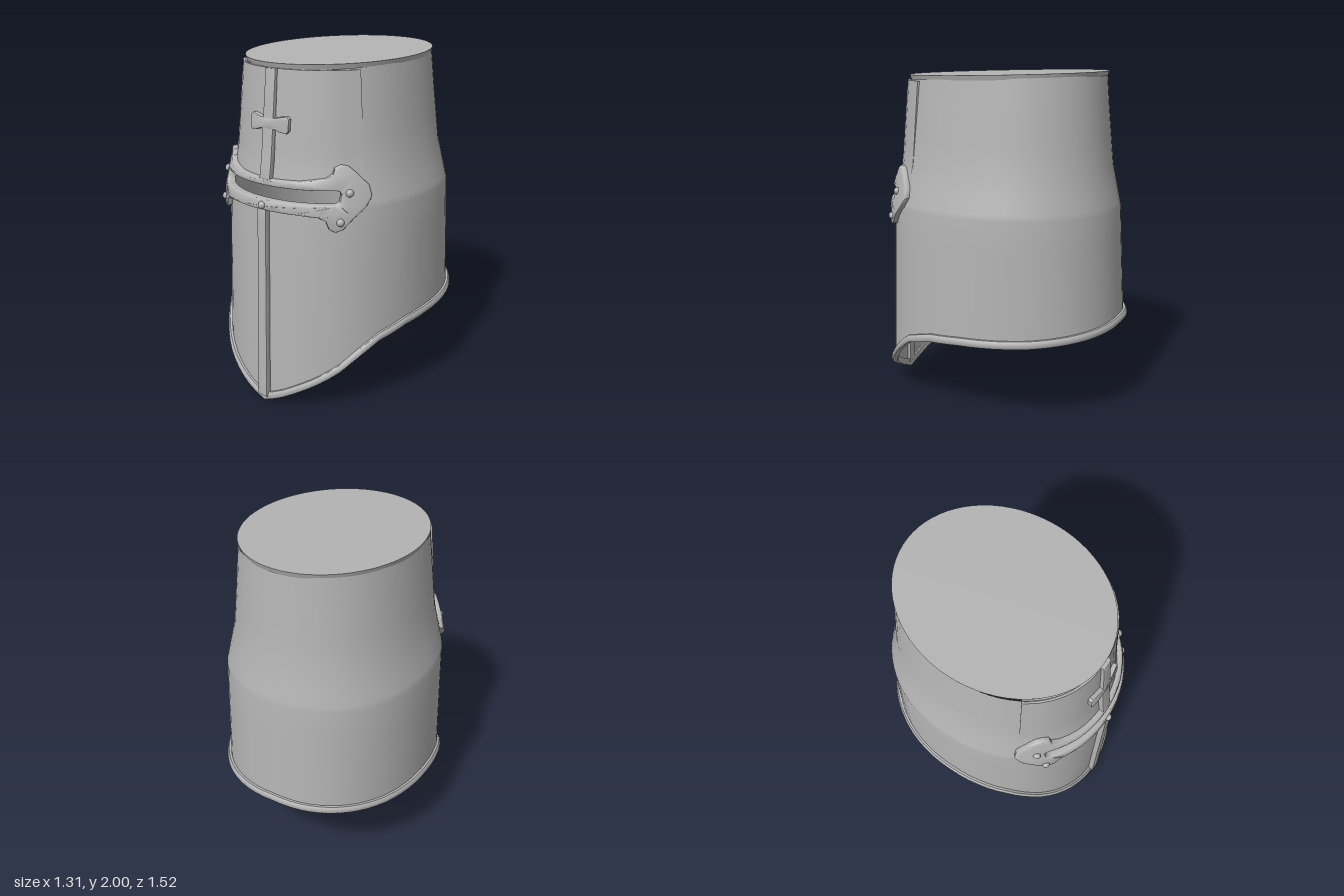
import * as THREE from 'three';
import { toCreasedNormals } from 'three/addons/utils/BufferGeometryUtils.js';

const steel = new THREE.MeshStandardMaterial({ color: 0xb4b4b4, side: THREE.DoubleSide });
steel.name = 'steel grey';

// Piecewise linear lookup in [key, value] pairs
function lookup(table, t) {
  for (let i = 1; i < table.length; i++) {
    const [t0, v0] = table[i - 1], [t1, v1] = table[i];
    if (t <= t1) return v0 + (v1 - v0) * Math.max(0, (t - t0) / (t1 - t0));
  }
  return table[table.length - 1][1];
}

// Skull profile by height: half width, front depth, back depth
const WIDTH = [[0, 0.64], [0.5, 0.633], [1.2, 0.617], [1.45, 0.555], [1.95, 0.497]];
const FRONT = [[0, 0.73], [1.2, 0.69], [1.45, 0.645], [1.95, 0.59]];
const BACK = [[0.5, 0.737], [1.2, 0.7], [1.45, 0.65], [1.95, 0.605]];
// Height of the lower edge by angle from the front, in degrees
const HEM = [[0, 0], [9, 0.045], [18, 0.1], [28, 0.16], [39, 0.235], [46, 0.3], [52, 0.352],
  [60, 0.41], [75, 0.46], [90, 0.475], [120, 0.485], [180, 0.525]];
const FULL = 0.94; // makes the oval slightly fuller than an ellipse
const COLS = 72;

const power = (v, p) => Math.sign(v) * Math.abs(v) ** p;
const hem = (angle) => {
  const deg = THREE.MathUtils.radToDeg(angle);
  return lookup(HEM, deg > 180 ? 360 - deg : deg);
};

// Point on the skull at an angle and height, pushed out by d
function onSkull(angle, y, d = 0) {
  const s = Math.sin(angle), c = Math.cos(angle);
  const a = lookup(WIDTH, y), b = lookup(c > 0 ? FRONT : BACK, y);
  const n = new THREE.Vector2(s / a, c / b).normalize();
  return new THREE.Vector3(a * power(s, FULL) + n.x * d, y, b * power(c, FULL) + n.y * d);
}

// Point on the face above a flat (x, y) position
function onFace(x, y, d) {
  const s = THREE.MathUtils.clamp(x / lookup(WIDTH, y), -1, 1);
  return onSkull(Math.asin(power(s, 1 / FULL)), y, d);
}

// Surface running round the helmet; skip(col, row) leaves openings
function ringSurface(rows, closed, pointAt, skip = () => false) {
  const pos = [], index = [];
  for (let i = 0; i < COLS; i++) {
    for (let j = 0; j < rows; j++) pos.push(...pointAt((i / COLS) * Math.PI * 2, j).toArray());
  }
  for (let i = 0; i < COLS; i++) {
    for (let j = 0; j < (closed ? rows : rows - 1); j++) {
      if (skip(i, j)) continue;
      const k = (j + 1) % rows, n = (i + 1) % COLS;
      const a = i * rows + j, b = n * rows + j, c = n * rows + k, d = i * rows + k;
      index.push(a, b, c, a, c, d);
    }
  }
  const g = new THREE.BufferGeometry();
  g.setAttribute('position', new THREE.Float32BufferAttribute(pos, 3));
  g.setIndex(index);
  g.computeVertexNormals();
  return g;
}

// Splits long edges so a flat plate can bend smoothly
function subdivide(geometry, limit) {
  const src = geometry.index ? geometry.toNonIndexed() : geometry;
  const p = src.attributes.position, out = [], stack = [];
  const vert = (i) => new THREE.Vector3().fromBufferAttribute(p, i);
  for (let i = 0; i < p.count; i += 3) stack.push([vert(i), vert(i + 1), vert(i + 2)]);
  while (stack.length) {
    let [a, b, c] = stack.pop();
    const ab = a.distanceTo(b), bc = b.distanceTo(c), ca = c.distanceTo(a);
    const longest = Math.max(ab, bc, ca);
    if (longest <= limit) { out.push(...a.toArray(), ...b.toArray(), ...c.toArray()); continue; }
    if (longest === bc) [a, b, c] = [b, c, a];
    else if (longest === ca) [a, b, c] = [c, a, b];
    const m = a.clone().add(b).multiplyScalar(0.5);
    stack.push([a, m, c], [m, b, c]);
  }
  const g = new THREE.BufferGeometry();
  g.setAttribute('position', new THREE.Float32BufferAttribute(out, 3));
  return g;
}

// Extrudes a flat outline and wraps it on the face
function facePlate(shape, height, bevel, lift = () => 1) {
  const sunk = 0.012;
  let g = new THREE.ExtrudeGeometry(shape, {
    depth: height + sunk - bevel, bevelEnabled: bevel > 0, bevelSize: bevel,
    bevelThickness: bevel, bevelOffset: -bevel, bevelSegments: 2, curveSegments: 6,
  });
  g = subdivide(g, 0.09);
  const p = g.attributes.position;
  for (let i = 0; i < p.count; i++) {
    const y = p.getY(i), d = (p.getZ(i) - sunk) * lift(y);
    p.setXYZ(i, ...onFace(p.getX(i), y, d).toArray());
  }
  return toCreasedNormals(g, 0.7);
}

const polygon = (pts) => new THREE.Shape(pts.map(([x, y]) => new THREE.Vector2(x, y)));
const mirrored = (half) => polygon([...half, ...half.map(([x, y]) => [-x, y]).reverse()]);

export function createModel() {
  const helmet = new THREE.Group();
  helmet.name = 'helmet';
  const add = (name, geometry) => {
    const mesh = new THREE.Mesh(geometry, steel);
    mesh.name = name;
    helmet.add(mesh);
    return mesh;
  };

  // Skull with the eye slit left open
  const levels = [0, 0.25, 0.5, 0.75, 1, 1.235, 1.31, 1.45, 1.6, 1.78, 1.96];
  const slitCols = 8;
  add('skull', ringSurface(levels.length, false, (angle, j) => {
    let y = levels[j];
    if (j < 5) y = THREE.MathUtils.lerp(hem(angle) + 0.01, 1.2, y);
    if (j === levels.length - 1) y -= 0.018 * Math.cos(angle);
    return onSkull(angle, y);
  }, (i, j) => j === 5 && (i < slitCols || i >= COLS - slitCols)));

  // Rolled rim along the lower edge: [outward, up]
  const rim = [[-0.012, 0], [0.016, 0], [0.024, 0.012], [0.022, 0.034], [0.014, 0.045], [-0.012, 0.045]];
  add('lowerRim', toCreasedNormals(ringSurface(rim.length, true, (angle, j) =>
    onSkull(angle, hem(angle) + rim[j][1], rim[j][0])), 0.8));

  // Flat lid, rising slightly to the back
  const lid = new THREE.CylinderGeometry(1, 0.985, 0.028, COLS).scale(0.508, 1, 0.612);
  const lp = lid.attributes.position;
  for (let i = 0; i < lp.count; i++) lp.setY(i, lp.getY(i) + 1.969 - 0.025 * lp.getZ(i));
  lid.translate(0, 0, -0.008);
  add('lid', toCreasedNormals(lid, 0.6));

  // Overlapping brow sheet that fades out downwards
  add('browSheet', facePlate(mirrored([[0.46, 1.4], [0.405, 1.94]]), 0.012, 0,
    (y) => Math.max(0, (y - 1.42) / 0.52)));

  // Sight plate with flared ends and a long slit
  const sight = mirrored([[0, 1.165], [0.2, 1.172], [0.31, 1.165], [0.345, 1.145], [0.36, 1.1],
    [0.385, 1.083], [0.415, 1.095], [0.455, 1.16], [0.492, 1.215], [0.502, 1.27], [0.485, 1.33],
    [0.44, 1.395], [0.405, 1.435], [0.375, 1.443], [0.352, 1.428], [0.348, 1.395], [0.32, 1.372],
    [0.2, 1.352], [0.05, 1.347], [0, 1.347]].filter(([x]) => x > 0));
  const slit = new THREE.Path();
  slit.moveTo(-0.37, 1.235).lineTo(0.37, 1.235);
  slit.quadraticCurveTo(0.395, 1.235, 0.395, 1.26).lineTo(0.395, 1.285);
  slit.quadraticCurveTo(0.395, 1.31, 0.37, 1.31).lineTo(-0.37, 1.31);
  slit.quadraticCurveTo(-0.395, 1.31, -0.395, 1.285).lineTo(-0.395, 1.26);
  slit.quadraticCurveTo(-0.395, 1.235, -0.37, 1.235);
  sight.holes.push(slit);
  add('sightPlate', facePlate(sight, 0.03, 0.008));

  // Vertical ridges and the cross arms
  add('lowerRidge', facePlate(mirrored([[0.032, 0.035], [0.029, 1.18]]), 0.034, 0.006));
  add('upperRidge', facePlate(mirrored([[0.036, 1.34], [0.034, 1.94]]), 0.03, 0.006));
  add('crossArms', facePlate(mirrored([[0.05, 1.615], [0.075, 1.605], [0.115, 1.6], [0.128, 1.615],
    [0.128, 1.68], [0.115, 1.693], [0.075, 1.688], [0.05, 1.68]]), 0.032, 0.008));

  // Rivets
  for (const [x, y] of [[0.425, 1.297], [-0.425, 1.297], [0.405, 1.14], [-0.405, 1.14], [0, 1.2]]) {
    const rivet = add('rivet', new THREE.SphereGeometry(0.022, 16, 10));
    rivet.position.copy(onFace(x, y, 0.028));
  }
  return helmet;
}
